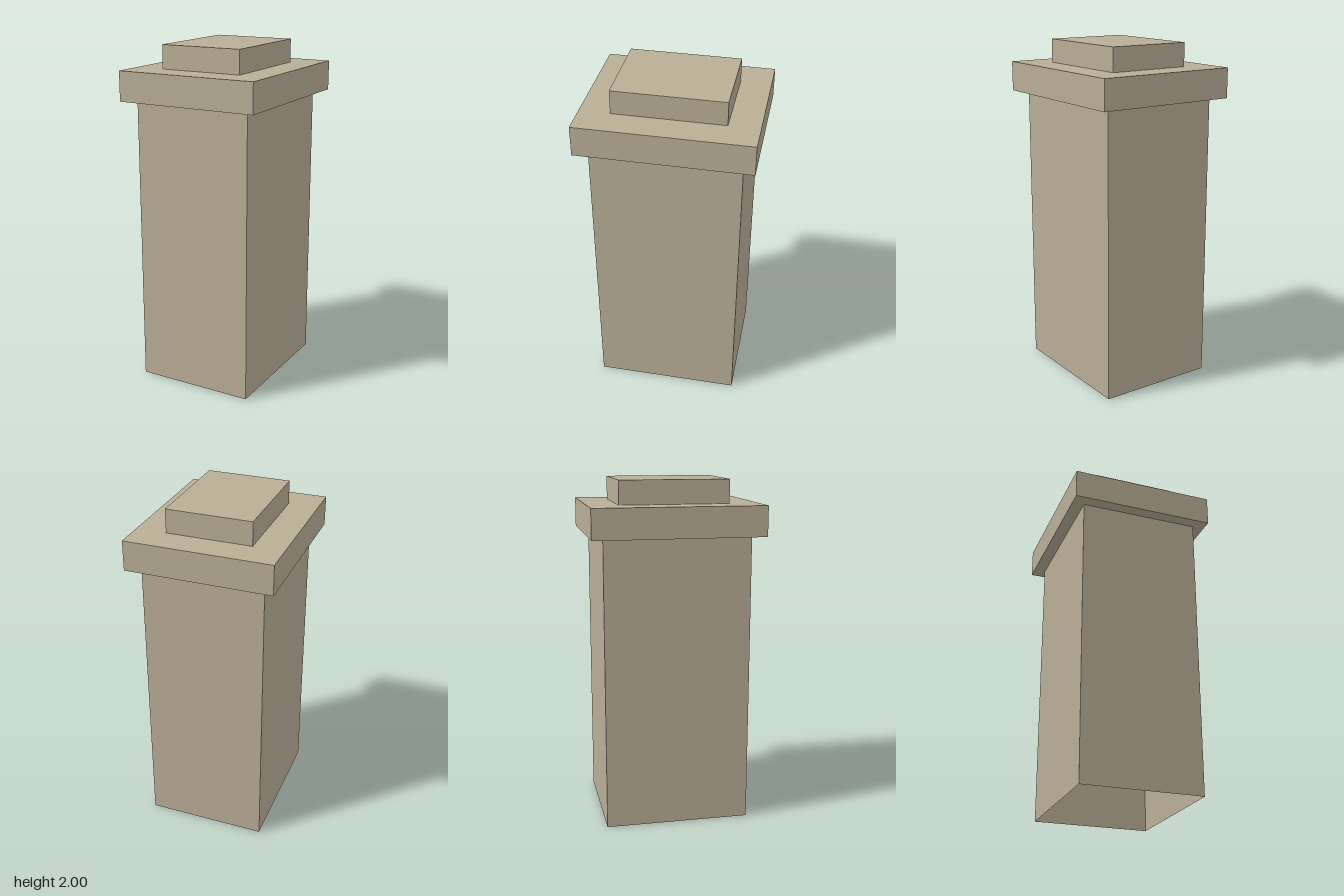
import * as THREE from 'three';

// Rectangular shell through a list of [halfWidth, y, halfDepth] loops; optionally closed on top.
function shell(loops, closeTop = false) {
  const corners = [[1, 1], [1, -1], [-1, -1], [-1, 1]];
  const at = ([w, y, d], i) => [corners[i % 4][0] * w, y, corners[i % 4][1] * d];
  const pos = [];
  const quad = (a, b, c, d) => pos.push(...a, ...b, ...c, ...a, ...c, ...d);
  for (let k = 0; k + 1 < loops.length; k++) {
    const lo = loops[k], hi = loops[k + 1];
    for (let i = 0; i < 4; i++) quad(at(lo, i), at(lo, i + 1), at(hi, i + 1), at(hi, i));
  }
  if (closeTop) {
    const top = loops[loops.length - 1];
    quad(at(top, 0), at(top, 1), at(top, 2), at(top, 3));
  }
  const geo = new THREE.BufferGeometry();
  geo.setAttribute('position', new THREE.Float32BufferAttribute(pos, 3));
  geo.computeVertexNormals();
  return geo;
}

export function createModel() {
  const group = new THREE.Group();
  group.name = 'pillar';
  const stone = new THREE.MeshStandardMaterial({ color: 0xb9ad94, side: THREE.DoubleSide });
  stone.name = 'sandstone';

  const add = (name, geo) => {
    const mesh = new THREE.Mesh(geo, stone);
    mesh.name = name;
    group.add(mesh);
  };

  // Hollow shaft, open at the bottom
  add('shaft', shell([[0.351, 0, 0.421], [0.351, 1.69, 0.421]]));

  // Overhanging cap: underside ledge, sides, upper ledge
  add('cap', shell([
    [0.351, 1.69, 0.421], [0.421, 1.69, 0.491],
    [0.421, 1.863, 0.491], [0.246, 1.863, 0.316],
  ]));

  // Raised top block
  add('topBlock', shell([[0.246, 1.863, 0.316], [0.246, 2, 0.316]], true));

  return group;
}
